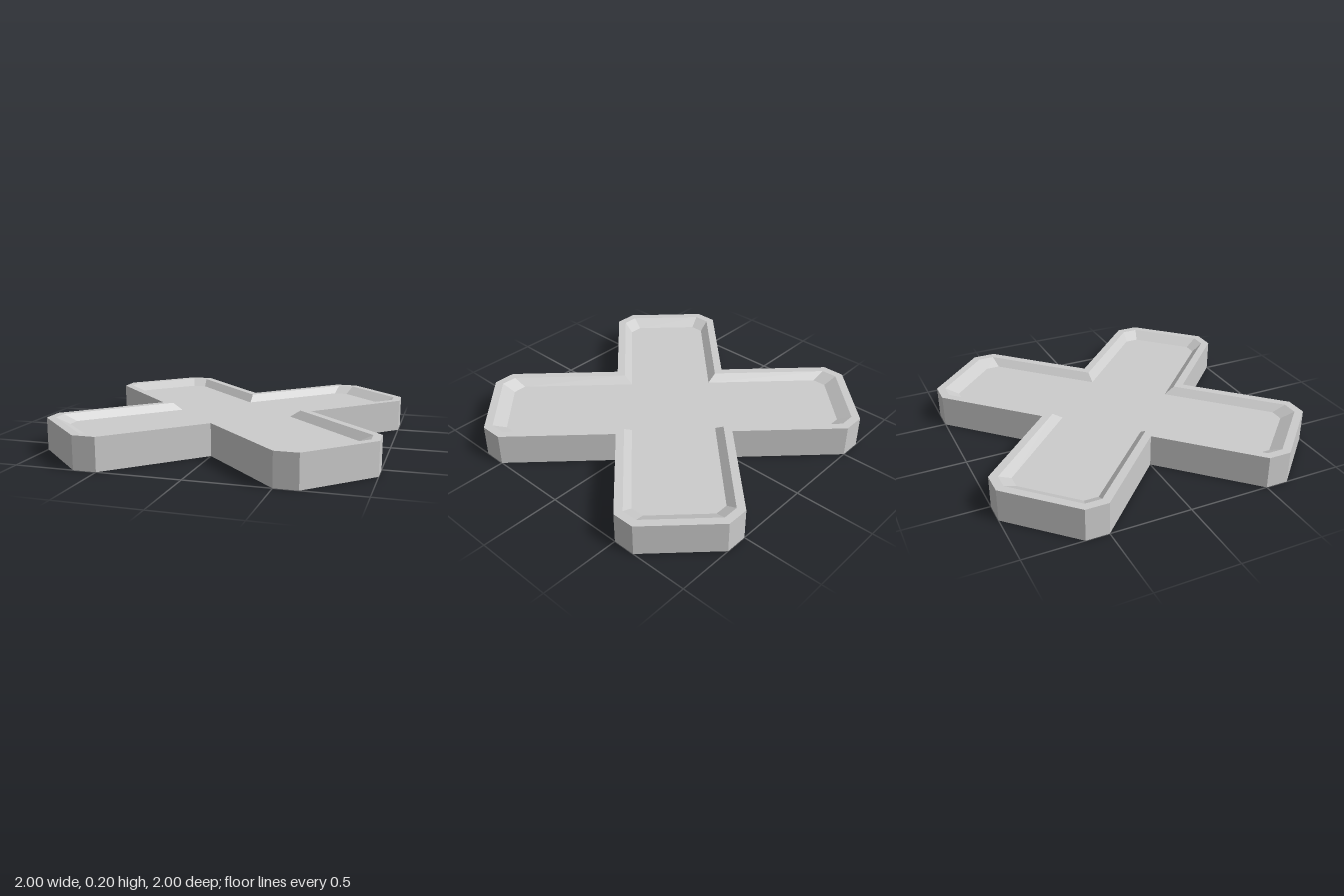
import * as THREE from 'three';

const HEIGHT = 0.2;
const FLOOR = 0.157;

// Cross-shaped ring at height y: v = inner notch, e = arm extent, a and b = ends of the clipped tip
function crossRing(y, v, a, b, e) {
  const quarter = [[0, v], [a, e], [b, e], [e, b], [e, a]];
  const ring = [];
  for (let q = 0; q < 4; q++) {
    for (const [px, pz] of quarter) {
      let x = px, z = pz;
      for (let k = 0; k < q; k++) [x, z] = [z, -x];
      ring.push([x, y, z]);
    }
  }
  return ring;
}

function flatMesh(name, triangles) {
  const geometry = new THREE.BufferGeometry();
  geometry.setAttribute('position', new THREE.Float32BufferAttribute(triangles.flat(), 3));
  geometry.computeVertexNormals();
  const mesh = new THREE.Mesh(geometry, new THREE.MeshStandardMaterial({ color: 0xcccccc, flatShading: true }));
  mesh.name = name;
  return mesh;
}

// Band of quads from one ring to the next
function band(name, from, to) {
  const tris = [];
  from.forEach((p, i) => {
    const j = (i + 1) % from.length;
    tris.push(p, from[j], to[j], p, to[j], to[i]);
  });
  return flatMesh(name, tris);
}

// Flat cap fanned from the middle
function cap(name, ring, up) {
  const tris = [];
  ring.forEach((p, i) => {
    const next = ring[(i + 1) % ring.length];
    tris.push([0, p[1], 0], up ? p : next, up ? next : p);
  });
  return flatMesh(name, tris);
}

export function createModel() {
  const bottom = crossRing(0, 0.5, 0.5, 0.64, 1);
  const top = crossRing(HEIGHT, 0.5, 0.5, 0.64, 1);
  const lip = crossRing(HEIGHT, 0.43, 0.52, 0.62, 0.95);
  const floor = crossRing(FLOOR, 0.365, 0.505, 0.59, 0.87);

  const tray = new THREE.Group();
  tray.name = 'crossTray';
  tray.add(
    cap('underside', bottom, false),
    band('outerWall', bottom, top),
    band('rim', top, lip),
    band('innerSlope', lip, floor),
    cap('recessedFloor', floor, true),
  );
  return tray;
}
